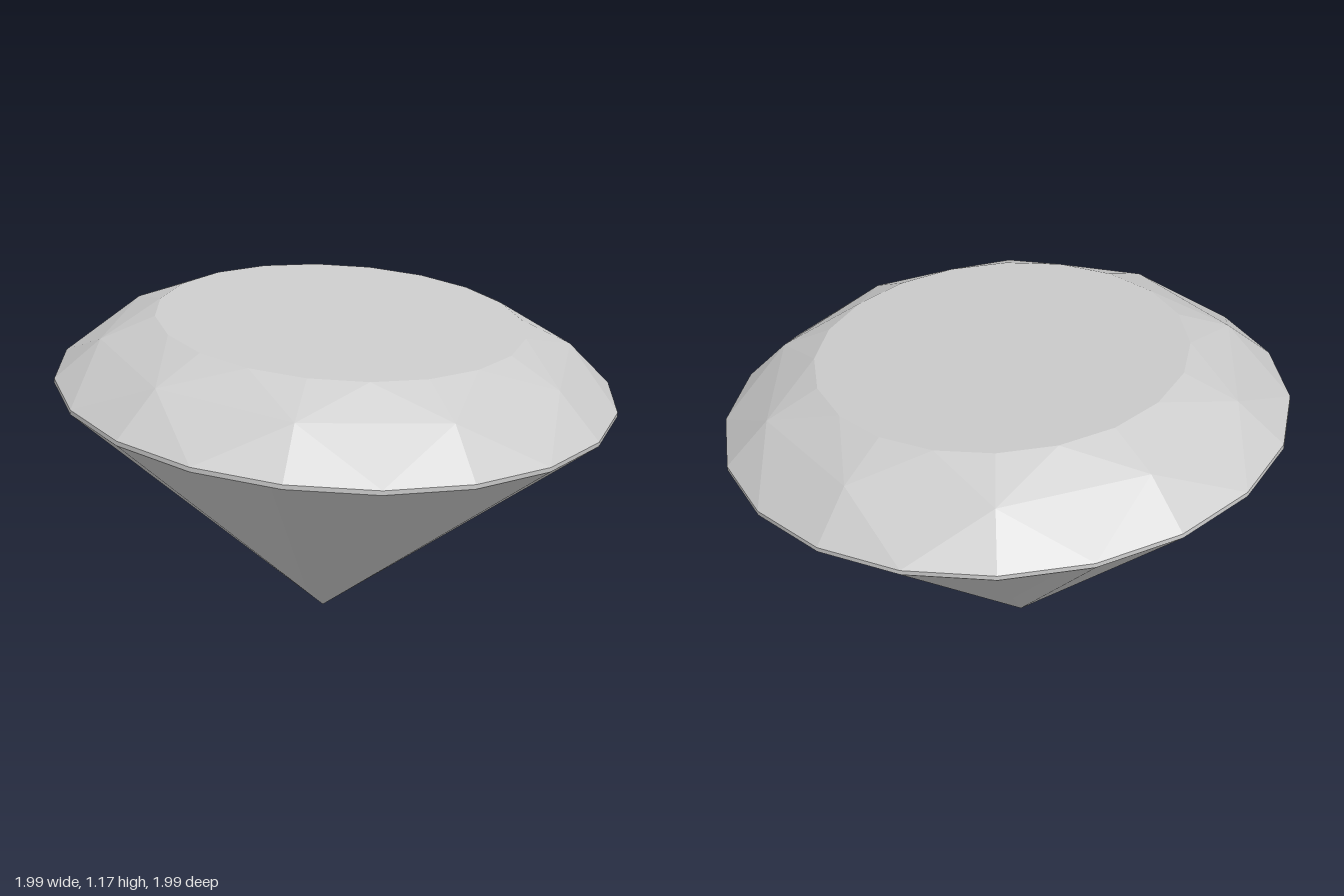
import * as THREE from 'three';

const SIDES = 20;
const STEP = (Math.PI * 2) / SIDES;
const PHASE = THREE.MathUtils.degToRad(-6);
const GIRDLE = 0.008; // half thickness of the rim

const material = (flatShading) => new THREE.MeshStandardMaterial({ color: 0xcccccc, flatShading });

// Point number i on a ring of the given radius and height
const ring = (radius, y) => (i) => {
  const a = PHASE + i * STEP;
  return [radius * Math.cos(a), y, radius * Math.sin(a)];
};

function facets(name, triangles) {
  const geometry = new THREE.BufferGeometry();
  geometry.setAttribute('position', new THREE.Float32BufferAttribute(triangles.flat(2), 3));
  geometry.computeVertexNormals();
  const mesh = new THREE.Mesh(geometry, material(true));
  mesh.name = name;
  return mesh;
}

// Turned surface with its corners lined up with the crown rings
function turned(name, profile) {
  const points = profile.map(([r, y]) => new THREE.Vector2(r, y));
  const geometry = new THREE.LatheGeometry(points, SIDES, THREE.MathUtils.degToRad(6));
  const mesh = new THREE.Mesh(geometry, material(false));
  mesh.name = name;
  return mesh;
}

export function createModel() {
  const group = new THREE.Group();
  group.name = 'cutGem';

  const stone = new THREE.Group();
  stone.name = 'tiltedStone';
  stone.position.y = 0.88;
  stone.rotation.z = THREE.MathUtils.degToRad(-4.1);
  group.add(stone);

  const rim = ring(1, GIRDLE);
  const mid = ring(0.842, 0.156);
  const top = ring(0.655, 0.242);

  // Crown: rim triangles, kites and star facets, repeated ten times
  const crown = [];
  for (let i = 0; i < SIDES; i += 2) {
    crown.push(
      [rim(i), rim(i - 1), mid(i)],
      [rim(i + 1), rim(i), mid(i)],
      [mid(i + 2), rim(i + 1), mid(i)],
      [mid(i + 2), mid(i), top(i + 1)],
      [top(i), mid(i), top(i - 1)],
      [top(i + 1), mid(i), top(i)]
    );
  }
  stone.add(facets('crown', crown));

  // Flat table on top
  const table = [];
  for (let i = 0; i < SIDES; i++) table.push([[0, 0.242, 0], top(i + 1), top(i)]);
  stone.add(facets('table', table));

  // Thin rim and the pointed lower part
  stone.add(turned('girdle', [[1, -GIRDLE], [1, GIRDLE]]));
  stone.add(turned('pavilion', [[0, -0.882], [1, -GIRDLE]]));

  return group;
}
